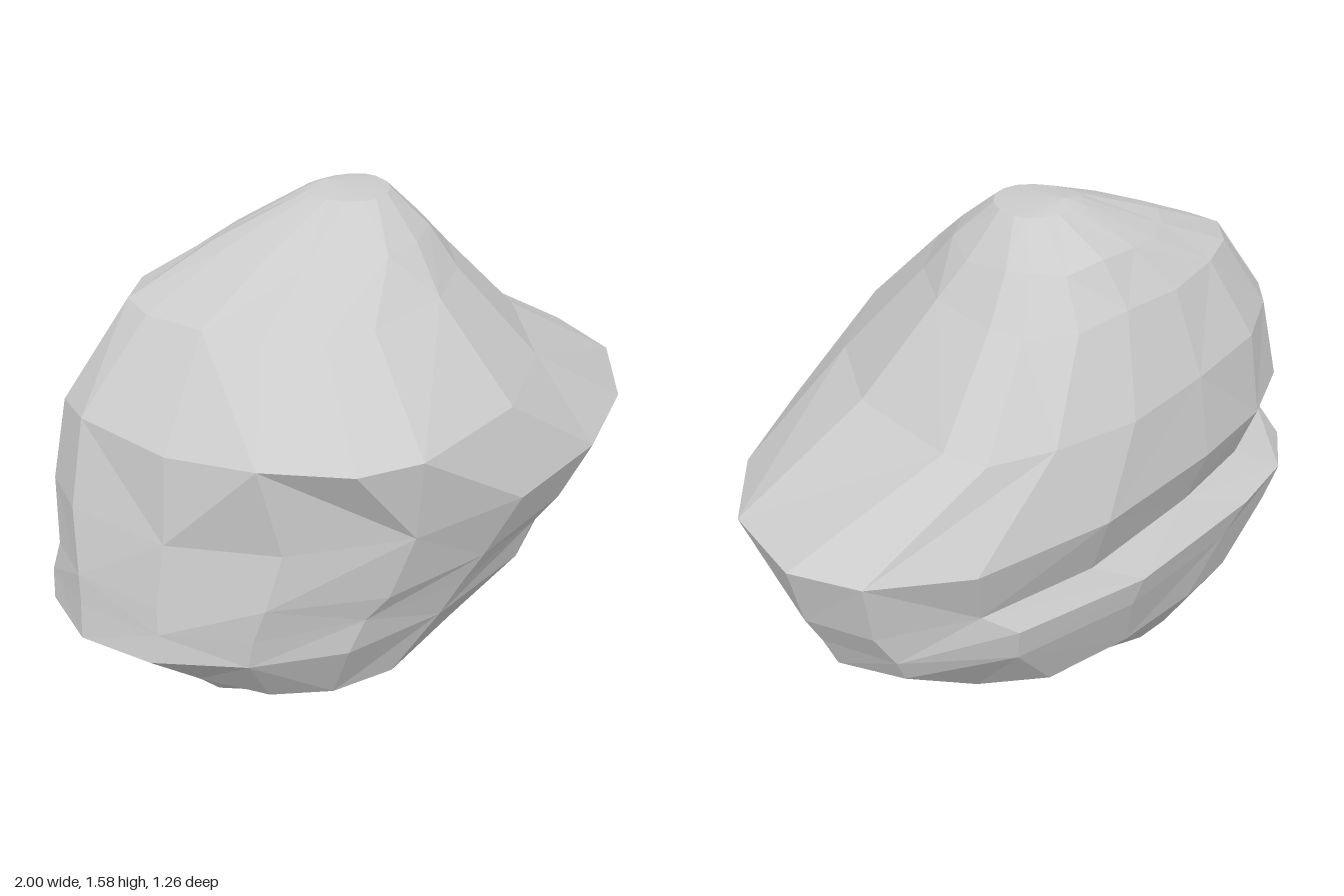
import * as THREE from 'three';

const SEG = 4; // facets per quarter turn
const AROUND = SEG * 4;
const REAR_FULLNESS = 1.13; // back quarters are slightly boxier than an ellipse

// Horizontal sections: height, extreme points [x, z] at left side, front, right side, back,
// then the roundness of the front-right quarter (1 = elliptical, 0 = straight cut)
const SECTIONS = [
  [0.015, [-0.43, -0.22], [-0.26, -0.05], [-0.14, -0.22], [-0.28, -0.35], 1],
  [0.10, [-0.59, -0.2], [-0.3, 0.14], [0.06, -0.2], [-0.25, -0.44], 0.9],
  [0.29, [-0.78, -0.15], [-0.3, 0.41], [0.58, -0.15], [-0.2, -0.55], 0.8],
  [0.49, [-1.0, -0.11], [-0.2, 0.5], [0.87, -0.1], [-0.3, -0.6], 0.85],
  // lip and crevice across the back
  [0.59, [-0.985, -0.12], [-0.15, 0.535], [0.91, -0.09], [-0.37, -0.63], 0.9],
  [0.68, [-0.975, -0.13], [-0.1, 0.57], [0.955, -0.08], [-0.15, -0.54], 0.95],
  [0.86, [-0.94, -0.18], [-0.02, 0.63], [1.0, -0.08], [-0.15, -0.605], 0.95],
  [1.10, [-0.87, -0.2], [-0.38, 0.6], [0.61, -0.27], [-0.15, -0.56], 1.1],
  [1.34, [-0.65, -0.18], [-0.28, 0.315], [0.365, -0.22], [-0.15, -0.46], 1.15],
  [1.46, [-0.38, -0.17], [-0.1, 0.18], [0.26, -0.19], [-0.08, -0.36], 1.1],
  [1.56, [-0.11, -0.12], [0.0, 0.03], [0.14, -0.12], [0.0, -0.21], 1],
];

// Small seeded noise for chipped facets
function makeNoise(seed) {
  let s = seed;
  return () => {
    s = (s * 16807) % 2147483647;
    return s / 2147483647 - 0.5;
  };
}

// One quarter arc from a side extreme to a front/back extreme, t from 0 to 1
function quarter(side, face, t, fullness) {
  const a = t * Math.PI / 2;
  const arc = [
    side[0] + (face[0] - side[0]) * (1 - Math.cos(a)),
    face[1] + (side[1] - face[1]) * (1 - Math.sin(a)),
  ];
  return arc.map((v, k) => {
    const chord = side[k] + (face[k] - side[k]) * t;
    return chord + (v - chord) * fullness;
  });
}

function sectionPoints([y, left, front, right, back, frontRight]) {
  const points = [];
  for (let i = 0; i < AROUND; i++) {
    const t = (i % SEG) / SEG;
    const p = [
      () => quarter(left, front, t, 1),
      () => quarter(right, front, 1 - t, frontRight),
      () => quarter(right, back, t, REAR_FULLNESS),
      () => quarter(left, back, 1 - t, REAR_FULLNESS),
    ][Math.floor(i / SEG)]();
    points.push(new THREE.Vector3(p[0], y, p[1]));
  }
  return points;
}

function rockGeometry() {
  const noise = makeNoise(71);
  const vertices = [];
  SECTIONS.forEach((section, level) => {
    const inner = level > 0 && level < SECTIONS.length - 1;
    sectionPoints(section).forEach((p, i) => {
      // keep the four extreme points exact, chip the rest
      if (inner && i % SEG !== 0) {
        p.x += noise() * 0.02;
        p.y += noise() * 0.03;
        p.z += noise() * 0.02;
      }
      vertices.push(p.x, p.y, p.z);
    });
  });

  // Skin between sections, with alternating diagonals
  const index = [];
  for (let l = 0; l < SECTIONS.length - 1; l++) {
    for (let i = 0; i < AROUND; i++) {
      const j = (i + 1) % AROUND;
      const a = l * AROUND + i, b = l * AROUND + j;
      const c = b + AROUND, d = a + AROUND;
      if ((i + l) % 2) index.push(a, b, c, a, c, d);
      else index.push(a, b, d, b, c, d);
    }
  }

  // Underside and crown caps
  const bottom = vertices.length / 3;
  vertices.push(-0.24, 0, -0.22, -0.02, 1.575, -0.17);
  const top = (SECTIONS.length - 1) * AROUND;
  for (let i = 0; i < AROUND; i++) {
    const j = (i + 1) % AROUND;
    index.push(bottom, j, i, bottom + 1, top + i, top + j);
  }

  const indexed = new THREE.BufferGeometry();
  indexed.setAttribute('position', new THREE.Float32BufferAttribute(vertices, 3));
  indexed.setIndex(index);
  const geometry = indexed.toNonIndexed();
  geometry.computeVertexNormals();
  return geometry;
}

export function createModel() {
  const group = new THREE.Group();
  group.name = 'boulder';
  const rock = new THREE.Mesh(
    rockGeometry(),
    new THREE.MeshStandardMaterial({ color: 0xcccccc, flatShading: true }),
  );
  rock.name = 'rock';
  group.add(rock);
  return group;
}
